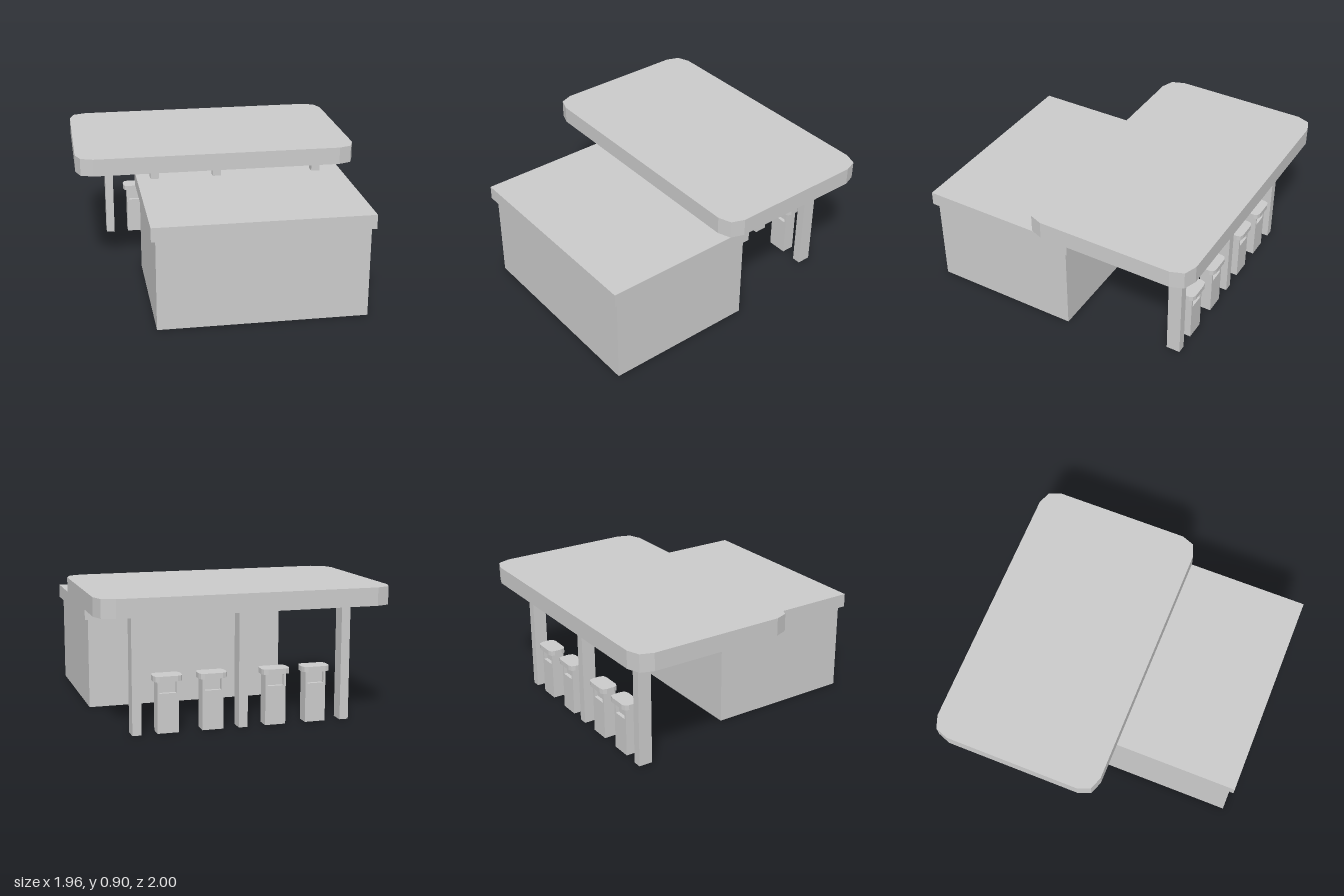
import * as THREE from 'three';

const material = new THREE.MeshStandardMaterial({ color: 0xcccccc, flatShading: true, side: THREE.DoubleSide });

function addMesh(parent, name, geometry) {
  const mesh = new THREE.Mesh(geometry, material);
  mesh.name = name;
  parent.add(mesh);
  return mesh;
}

// Box given by its limits; faces listed in `open` are left out (2 = top, 3 = bottom)
function box(x0, x1, y0, y1, z0, z1, open = []) {
  const geometry = new THREE.BoxGeometry(x1 - x0, y1 - y0, z1 - z0);
  geometry.translate((x0 + x1) / 2, (y0 + y1) / 2, (z0 + z1) / 2);
  const index = Array.from(geometry.index.array);
  geometry.setIndex(index.filter((_, i) => !open.includes(Math.floor(i / 6))));
  geometry.clearGroups();
  return geometry;
}

// Horizontal slab whose corners are cut in two facets
function slab(x0, x1, y0, y1, z0, z1, cut) {
  const w = (x1 - x0) / 2, d = (z1 - z0) / 2;
  const corner = [[0, cut], [cut * 0.27, cut * 0.27], [cut, 0]];
  const points = [];
  for (const [sx, sy] of [[1, 1], [-1, 1], [-1, -1], [1, -1]]) {
    const facets = sx * sy > 0 ? corner : [...corner].reverse();
    for (const [a, b] of facets) points.push(new THREE.Vector2(sx * (w - a), sy * (d - b)));
  }
  const geometry = new THREE.ExtrudeGeometry(new THREE.Shape(points), { depth: y1 - y0, bevelEnabled: false });
  geometry.rotateX(-Math.PI / 2);
  geometry.translate((x0 + x1) / 2, y0, (z0 + z1) / 2);
  return geometry;
}

// Fuel pump with a recessed window on both faces and a cap
function createPump(x) {
  const pump = new THREE.Group();
  pump.name = 'pump';
  const zBack = -0.845, zFront = -0.755, half = 0.07;
  addMesh(pump, 'pumpBody', box(-half, half, 0, 0.26, zBack, zFront, [3]));
  for (const side of [-1, 1]) {
    const inner = side * 0.055, outer = side * half;
    addMesh(pump, 'pumpPost', box(Math.min(inner, outer), Math.max(inner, outer), 0.26, 0.34, zBack, zFront));
  }
  addMesh(pump, 'pumpWindow', box(-0.055, 0.055, 0.26, 0.34, -0.82, -0.78));
  addMesh(pump, 'pumpCap', slab(-0.095, 0.095, 0.34, 0.375, -0.868, -0.745, 0.035));
  pump.position.x = x;
  return pump;
}

export function createModel() {
  const model = new THREE.Group();
  model.name = 'fuelStation';

  // Shop: hollow walls under a hollow overhanging roof
  addMesh(model, 'shopWalls', box(-0.53, 0.86, 0, 0.62, -0.06, 0.97, [2, 3]));
  const roof = box(-0.56, 0.885, 0.62, 0.715, -0.095, 1, [3]);
  const position = roof.attributes.position;
  for (let i = 0; i < position.count; i++) {
    // The rear edge is slightly skewed
    if (position.getX(i) > 0 && position.getZ(i) < 0) position.setZ(i, -0.085);
  }
  roof.computeVertexNormals();
  addMesh(model, 'shopRoof', roof);

  // Canopy, its rear columns and the short posts on the shop roof
  addMesh(model, 'canopy', slab(-0.978, 0.978, 0.78, 0.9, -1, 0.165, 0.12));
  for (const x of [-0.705, 0, 0.705]) {
    addMesh(model, 'canopyColumn', box(x - 0.03, x + 0.03, 0, 0.78, -0.85, -0.755, [3]));
  }
  for (const x of [-0.435, 0, 0.705]) {
    addMesh(model, 'roofPost', box(x - 0.03, x + 0.03, 0.715, 0.78, 0.03, 0.092));
  }

  // Row of pumps
  for (const x of [-0.5, -0.222, 0.203, 0.5]) model.add(createPump(x));
  return model;
}
